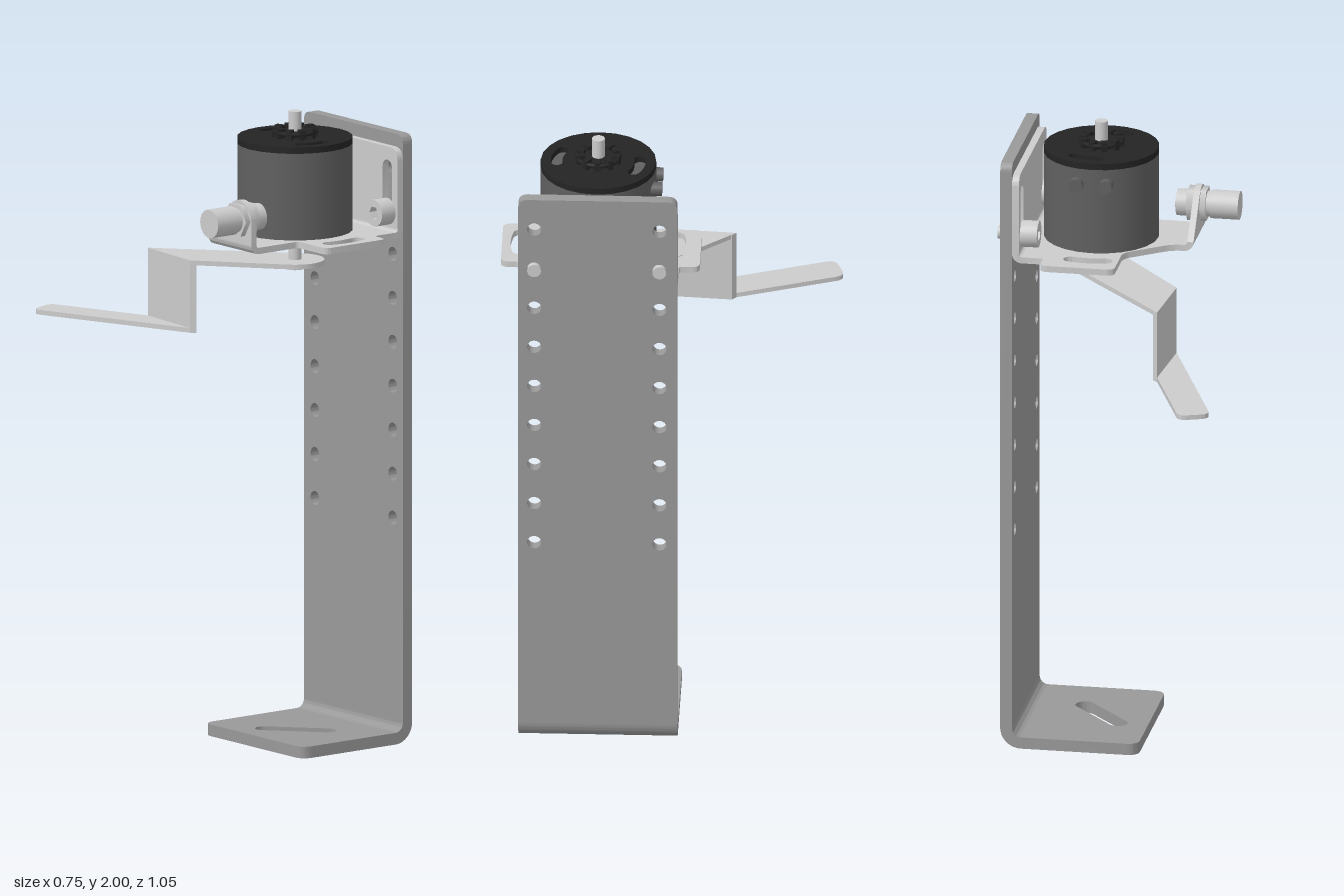
import * as THREE from 'three';
import { toCreasedNormals } from 'three/addons/utils/BufferGeometryUtils.js';

const paint = (color) => new THREE.MeshStandardMaterial({ color });
const STEEL = paint(0xcccccc), STAND = paint(0x999999), MOTOR = paint(0x606060), BLACK = paint(0x242424);
const AX = 0.085, AZ = 0.22; // motor axis
const SENSOR_Y = 1.71, SENSOR_Z = 0.32;

// Closed outline through [a, b, cornerRadius] points
function outline(points) {
  const s = new THREE.Shape();
  const p = points.map(([a, b]) => new THREE.Vector2(a, b));
  const n = p.length;
  points.forEach(([, , r = 0], i) => {
    const toward = (q) => p[i].clone().add(q.clone().sub(p[i]).setLength(r));
    const a = r ? toward(p[(i + n - 1) % n]) : p[i];
    if (i) s.lineTo(a.x, a.y); else s.moveTo(a.x, a.y);
    if (r) {
      const b = toward(p[(i + 1) % n]);
      s.quadraticCurveTo(p[i].x, p[i].y, b.x, b.y);
    }
  });
  s.closePath();
  return s;
}

function circle(a, b, r) {
  const h = new THREE.Path();
  h.absarc(a, b, r, 0, Math.PI * 2);
  return h;
}

// Straight slot from (a0, b0) to (a1, b1)
function slot(a0, b0, a1, b1, r) {
  const t = Math.atan2(b1 - b0, a1 - a0), h = new THREE.Path();
  h.absarc(a1, b1, r, t - Math.PI / 2, t + Math.PI / 2);
  h.absarc(a0, b0, r, t + Math.PI / 2, t + Math.PI * 1.5);
  h.closePath();
  return h;
}

// Curved slot around the motor axis
function arcSlot(R, mid, half, r) {
  const a0 = mid - half, a1 = mid + half, cy = -AZ, h = new THREE.Path();
  h.absarc(AX, cy, R + r, a0, a1);
  h.absarc(AX + R * Math.cos(a1), cy + R * Math.sin(a1), r, a1, a1 + Math.PI);
  h.absarc(AX, cy, R - r, a1, a0, true);
  h.absarc(AX + R * Math.cos(a0), cy + R * Math.sin(a0), r, a0 + Math.PI, a0 + 2 * Math.PI);
  h.closePath();
  return h;
}

function extrude(shape, depth) {
  const g = new THREE.ExtrudeGeometry(shape, { depth, bevelEnabled: false, curveSegments: 12 });
  return toCreasedNormals(g, 0.6);
}

function add(group, name, geometry, material) {
  const m = new THREE.Mesh(geometry, material);
  m.name = name;
  group.add(m);
  return m;
}

// Horizontal sheet, shape drawn in (x, -z)
const sheet = (shape, y, t) => extrude(shape, t).rotateX(-Math.PI / 2).translate(0, y, 0);
const flat = (pts) => outline(pts.map(([x, z, r]) => [x, -z, r]));
// Upright sheet facing x, shape drawn in (-z, y)
const wall = (shape, x, t) => extrude(shape, t).rotateY(Math.PI / 2).translate(x, 0, 0);
const upright = (pts) => outline(pts.map(([z, y, r]) => [-z, y, r]));

// Quarter bend running along z
function bend(cx, cy, inner, outer, a0, z0, z1) {
  const s = new THREE.Shape();
  s.absarc(cx, cy, outer, a0, a0 + Math.PI / 2);
  s.absarc(cx, cy, inner, a0 + Math.PI / 2, a0, true);
  s.closePath();
  return extrude(s, z1 - z0).translate(0, 0, z0);
}

const rodY = (r, y0, y1, n = 24) =>
  new THREE.CylinderGeometry(r, r, y1 - y0, n).translate(AX, (y0 + y1) / 2, AZ);
const rodX = (r, x0, x1, y, z, n = 24) =>
  new THREE.CylinderGeometry(r, r, x1 - x0, n).rotateZ(Math.PI / 2).translate((x0 + x1) / 2, y, z);

function createStand() {
  const g = new THREE.Group();
  g.name = 'stand';
  const z0 = -0.035, z1 = 0.46;
  const plate = upright([[z0, 0.065], [z0, 1.93, 0.03], [z1, 1.93, 0.03], [z1, 0.065]]);
  for (let i = 0; i < 9; i++)
    for (const z of [0.02, 0.41]) plate.holes.push(circle(-z, 1.825 - i * 0.1395, 0.022));
  add(g, 'column', wall(plate, 0.323, 0.037), STAND);
  add(g, 'columnBend', bend(0.295, 0.065, 0.028, 0.065, -Math.PI / 2, z0, z1), STAND);
  const foot = flat([[0.295, z0], [-0.075, z0, 0.04], [-0.075, z1, 0.04], [0.295, z1]]);
  foot.holes.push(slot(0.02, -0.15, 0.15, -0.295, 0.03));
  add(g, 'foot', sheet(foot, 0, 0.037), STAND);
  return g;
}

function createMotorBracket() {
  const g = new THREE.Group();
  g.name = 'motorBracket';
  const base = flat([
    [-0.185, 0.165], [-0.15, 0.165, 0.03], [-0.01, 0.06, 0.03], [-0.01, -0.1, 0.025],
    [0.225, -0.1, 0.025], [0.225, -0.035, 0.012], [0.293, -0.035], [0.293, 0.46],
    [0.21, 0.46, 0.015], [0.21, 0.52, 0.025], [-0.03, 0.52, 0.025], [-0.03, 0.38, 0.012], [-0.185, 0.38],
  ]);
  for (const mid of [Math.PI / 2, -Math.PI / 2]) base.holes.push(arcSlot(0.25, mid, 0.22, 0.023));
  add(g, 'bracketBase', sheet(base, 1.605, 0.02), STEEL);

  // Slotted flange against the column
  const flange = upright([[-0.035, 1.635], [-0.035, 1.89, 0.04], [0.46, 1.89, 0.04], [0.46, 1.635]]);
  for (const z of [0.02, 0.41]) flange.holes.push(slot(-z, 1.685, -z, 1.825, 0.023));
  add(g, 'mountFlange', wall(flange, 0.301, 0.022), STEEL);
  add(g, 'mountBend', bend(0.293, 1.635, 0.01, 0.03, -Math.PI / 2, -0.035, 0.46), STEEL);

  // Tapered ear for the sensor
  const ear = new THREE.Shape();
  ear.moveTo(-0.38, 1.635);
  ear.lineTo(-0.165, 1.635);
  ear.absarc(-SENSOR_Z, SENSOR_Y, 0.06, 0.85, Math.PI);
  ear.closePath();
  add(g, 'sensorEar', wall(ear, -0.215, 0.02), STEEL);
  add(g, 'sensorBend', bend(-0.185, 1.635, 0.01, 0.03, Math.PI, 0.165, 0.38), STEEL);

  // Bolts into the column
  for (const z of [0.02, 0.41]) {
    const socket = new THREE.Shape().absarc(-z, 1.685, 0.042, 0, Math.PI * 2);
    const hex = [...Array(6).keys()].map((i) => new THREE.Vector2(
      -z + 0.022 * Math.cos(i * Math.PI / 3), 1.685 + 0.022 * Math.sin(i * Math.PI / 3)));
    socket.holes.push(new THREE.Path(hex));
    add(g, 'boltHead', wall(socket, 0.247, 0.054), STEEL);
    add(g, 'boltShank', rodX(0.0215, 0.275, 0.375, 1.685, z), STEEL);
  }
  return g;
}

function createSensor() {
  const g = new THREE.Group();
  g.name = 'sensor';
  const parts = [
    ['sensorBarrel', 0.045, -0.335, -0.245, 24], ['sensorThread', 0.04, -0.245, -0.175, 24],
    ['outerNut', 0.056, -0.233, -0.215, 6], ['innerNut', 0.056, -0.195, -0.172, 6],
    ['sensorTip', 0.042, -0.172, -0.138, 24], ['sensorFace', 0.025, -0.14, -0.134, 20],
  ];
  for (const [name, r, x0, x1, n] of parts) add(g, name, rodX(r, x0, x1, SENSOR_Y, SENSOR_Z, n), STEEL);
  return g;
}

function createMotor() {
  const g = new THREE.Group();
  g.name = 'motor';
  add(g, 'motorBody', rodY(0.18, 1.625, 1.9), MOTOR);
  const cap = new THREE.Shape().absarc(AX, -AZ, 0.18, 0, Math.PI * 2);
  const mid = Math.atan2(46, 10);
  cap.holes.push(arcSlot(0.13, mid, 0.32, 0.018), arcSlot(0.13, mid + Math.PI, 0.32, 0.018));
  add(g, 'motorCap', sheet(cap, 1.9, 0.02), BLACK);

  // Stepped hub ringed with teeth
  add(g, 'hub', rodY(0.05, 1.92, 1.938), BLACK);
  add(g, 'hubRing', new THREE.TorusGeometry(0.066, 0.007, 6, 32).rotateX(Math.PI / 2).translate(AX, 1.937, AZ), BLACK);
  for (let i = 0; i < 10; i++) {
    const tooth = new THREE.BoxGeometry(0.026, 0.03, 0.018).translate(0.058, 1.935, 0);
    add(g, 'hubTooth', tooth.rotateY(i * Math.PI / 5).translate(AX, 0, AZ), BLACK);
  }
  add(g, 'shaft', rodY(0.02, 1.5, 2), STEEL);
  add(g, 'shaftCollar', rodY(0.03, 1.5, 1.522), STEEL);

  // Cable outlets at the back
  for (const x of [0.04, 0.132]) {
    const stub = new THREE.CylinderGeometry(0.022, 0.022, 0.06, 20).rotateX(Math.PI / 2);
    add(g, 'cableOutlet', stub.translate(x, 1.85, 0.05), MOTOR);
  }
  return g;
}

function createLever() {
  const g = new THREE.Group();
  g.name = 'lever';
  const A = [-0.165, -0.2], B = [-0.185, 0.035], t = 0.015;
  const r = 0.092, start = Math.atan2(-0.665, 0.748);
  const end = [...Array(17).keys()].map((i) => {
    const a = start + (i / 16) * Math.PI;
    return [AX + r * Math.cos(a), AZ + r * Math.sin(a)];
  });
  add(g, 'leverHubPlate', sheet(flat([A, ...end, B]), 1.515, t), STEEL);
  const web = flat([A, [A[0] + t, A[1] + 0.013], [B[0] + t, B[1] + 0.015], B]);
  add(g, 'leverWeb', sheet(web, 1.3, 0.23), STEEL);
  const arm = flat([A, [-0.29, -0.535, 0.03], [-0.385, -0.5, 0.03], B]);
  add(g, 'leverArm', sheet(arm, 1.3, t), STEEL);
  return g;
}

export function createModel() {
  const model = new THREE.Group();
  model.name = 'motorStand';
  model.add(createStand(), createMotorBracket(), createSensor(), createMotor(), createLever());
  return model;
}
